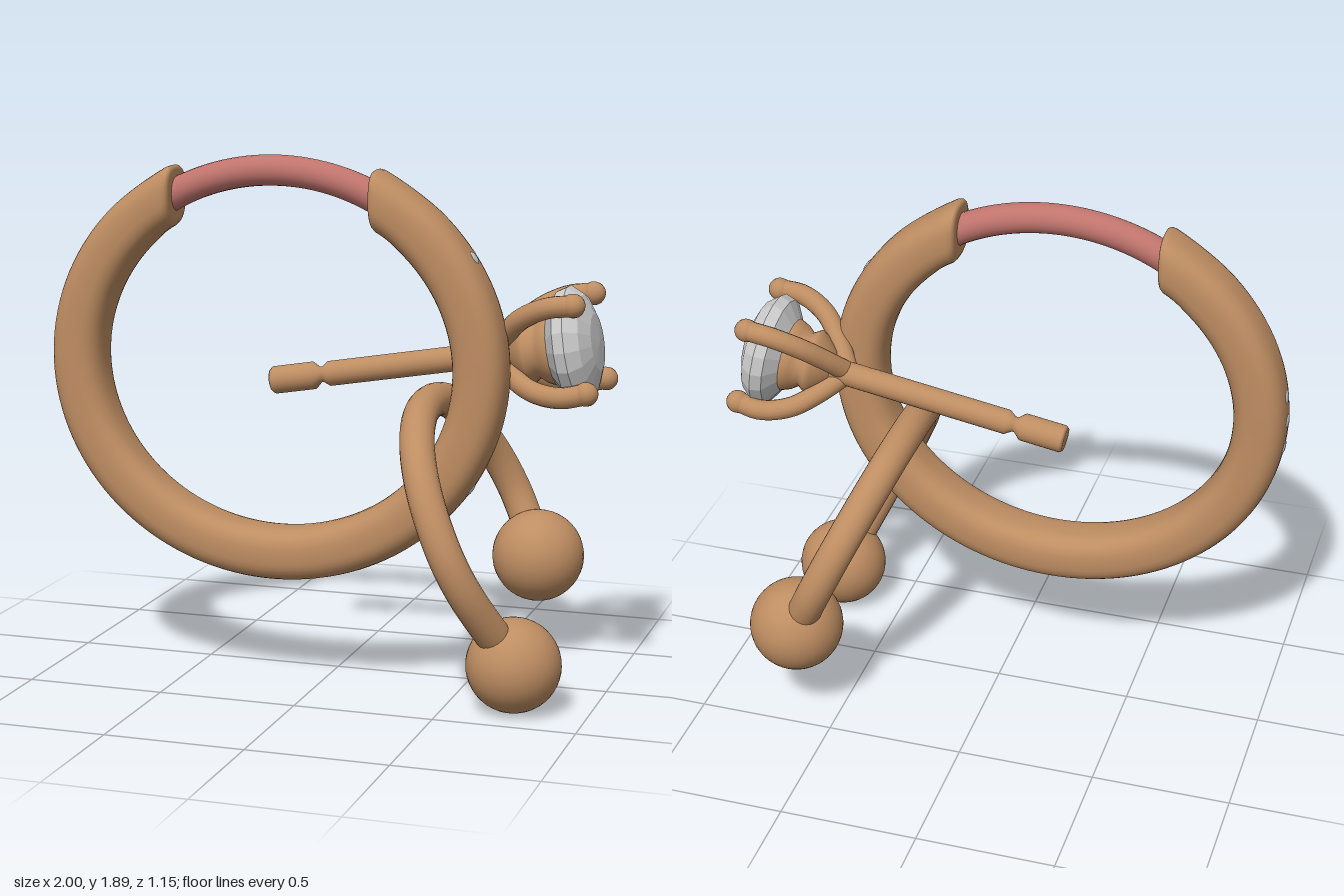
import * as THREE from 'three';

const gold = new THREE.MeshStandardMaterial({ color: 0xbe8d62 });
gold.name = 'gold';
const rose = new THREE.MeshStandardMaterial({ color: 0xc0746d });
rose.name = 'rose';
const crystal = new THREE.MeshStandardMaterial({ color: 0xcccccc });
crystal.name = 'crystal';

const V = (x, y, z) => new THREE.Vector3(x, y, z);

function add(parent, name, geometry, material, position) {
  const mesh = new THREE.Mesh(geometry, material);
  mesh.name = name;
  if (position) mesh.position.copy(position);
  parent.add(mesh);
  return mesh;
}

const lathe = (points, segments) =>
  new THREE.LatheGeometry(points.map(([r, y]) => new THREE.Vector2(r, y)), segments);

// Oval the hoop follows
const HOOP = { x: -0.16, y: 1.155, z: 0.21, rx: 0.745, ry: 0.68 };
const hoopPoint = (t) => V(HOOP.x + HOOP.rx * Math.cos(t), HOOP.y + HOOP.ry * Math.sin(t), HOOP.z);
const hoopNormal = (t) => V(Math.cos(t) / HOOP.rx, Math.sin(t) / HOOP.ry, 0).normalize();

// Softly squared section swept along the oval, with upright rounded ends
function hoopGeometry(t0, t1) {
  const rows = [[t0, 0], [t0, 0.75], [t0 + 0.004, 0.87], [t0 + 0.014, 0.95], [t0 + 0.035, 1]];
  const ends = rows.map(([t, s]) => [t1 - (t - t0), s]).reverse();
  const steps = 110, cols = 32;
  for (let i = 1; i < steps; i++) rows.push([t0 + 0.035 + (t1 - t0 - 0.07) * i / steps, 1]);
  rows.push(...ends);
  const positions = [], index = [];
  const soft = (v) => Math.sign(v) * Math.pow(Math.abs(v), 0.75);
  rows.forEach(([t, s], i) => {
    const c = hoopPoint(t), n = hoopNormal(t);
    const nearEnd = Math.max(0, 1 - Math.min(t - t0, t1 - t) / 0.25);
    n.lerp(V(0, 1.16, 0), nearEnd);
    for (let j = 0; j < cols; j++) {
      const a = j / cols * Math.PI * 2;
      const p = c.clone().addScaledVector(n, 0.095 * s * soft(Math.cos(a)));
      positions.push(p.x, p.y, p.z + 0.105 * s * soft(Math.sin(a)));
      if (i === 0) continue;
      const k = (j + 1) % cols, A = (i - 1) * cols, B = i * cols;
      index.push(A + j, B + j, B + k, A + j, B + k, A + k);
    }
  });
  const g = new THREE.BufferGeometry();
  g.setAttribute('position', new THREE.Float32BufferAttribute(positions, 3));
  g.setIndex(index);
  g.computeVertexNormals();
  return g;
}

function buildHoop() {
  const hoop = new THREE.Group();
  hoop.name = 'hoopRing';
  const left = Math.acos(-0.37 / HOOP.rx), right = Math.acos(0.36 / HOOP.rx);
  add(hoop, 'hoopBody', hoopGeometry(left, right + Math.PI * 2), gold);

  // Thin bar closing the gap at the top
  const points = [];
  for (let i = 0; i <= 12; i++) points.push(hoopPoint(right - 0.1 + (left - right + 0.2) * i / 12));
  add(hoop, 'closureBar',
    new THREE.TubeGeometry(new THREE.CatmullRomCurve3(points), 40, 0.054, 20), rose);

  // Small stones set in the outer face
  for (const deg of [31, -31.5, 172, 179, 187]) {
    const t = THREE.MathUtils.degToRad(deg), n = hoopNormal(t);
    const stone = add(hoop, 'inlaidStone', new THREE.SphereGeometry(0.026, 8, 6), crystal,
      hoopPoint(t).addScaledVector(n, 0.093));
    stone.quaternion.setFromUnitVectors(V(0, 1, 0), n);
    stone.scale.y = 0.25;
  }
  return hoop;
}

// Stud: straight post carrying a stone in a four-prong setting, built along +y
function buildStud() {
  const stud = new THREE.Group();
  stud.name = 'stoneStud';
  add(stud, 'post', lathe([[0, -0.87], [0.042, -0.87], [0.05, -0.86], [0.05, -0.71], [0.028, -0.685],
    [0.028, -0.675], [0.045, -0.65], [0.045, 0.05], [0, 0.06]], 24), gold);

  const setting = new THREE.Group();
  setting.name = 'setting';
  setting.position.z = 0.012;
  stud.add(setting);
  add(setting, 'basket', lathe([[0, 0], [0.06, 0.02], [0.11, 0.075], [0.12, 0.095], [0.1, 0.125],
    [0.12, 0.15], [0.135, 0.185], [0.11, 0.21], [0, 0.21]], 28), gold);

  // Faceted stone
  const cut = lathe([[0, 0.13], [0.11, 0.17], [0.195, 0.225], [0.207, 0.265], [0.17, 0.31],
    [0.1, 0.338], [0, 0.345]], 18).toNonIndexed();
  cut.computeVertexNormals();
  add(setting, 'mainStone', cut, crystal);

  // Prongs
  const path = [[0, -0.04], [0.45, 0.035], [0.82, 0.12], [1, 0.22], [0.98, 0.31]];
  for (const sx of [-1, 1]) for (const sz of [-1, 1]) {
    const points = path.map(([f, s]) => V(sx * 0.155 * f, s, sz * 0.17 * f));
    add(setting, 'prong',
      new THREE.TubeGeometry(new THREE.CatmullRomCurve3(points), 28, 0.037, 14), gold);
    add(setting, 'prongTip', new THREE.SphereGeometry(0.042, 16, 12), gold, points[4]);
  }
  stud.position.set(0.62, 1.205, 0.033);
  stud.rotation.z = THREE.MathUtils.degToRad(9.5 - 90);
  return stud;
}

// Horseshoe barbell: a bent rod in a leaning plane with a ball on each end
function buildBarbell() {
  const barbell = new THREE.Group();
  barbell.name = 'horseshoeBarbell';
  const path = [[0.33, 0.2], [0.42, 0.32], [0.5, 0.47], [0.515, 0.6], [0.46, 0.77], [0.345, 0.9],
    [0.18, 0.985], [-0.015, 1.01], [-0.19, 0.98], [-0.345, 0.88], [-0.45, 0.75], [-0.49, 0.61],
    [-0.47, 0.49], [-0.41, 0.39]];
  const points = path.map(([z, y]) => V(0.345 + (1.01 - y) * 0.47, y, z));
  add(barbell, 'bentRod',
    new THREE.TubeGeometry(new THREE.CatmullRomCurve3(points), 90, 0.061, 20), gold);
  add(barbell, 'frontBall', new THREE.SphereGeometry(0.166, 36, 24), gold, V(0.74, 0.168, 0.325));
  add(barbell, 'backBall', new THREE.SphereGeometry(0.17, 36, 24), gold, V(0.65, 0.378, -0.403));
  return barbell;
}

export function createModel() {
  const model = new THREE.Group();
  model.name = 'jewelrySet';
  model.add(buildHoop(), buildStud(), buildBarbell());
  return model;
}
